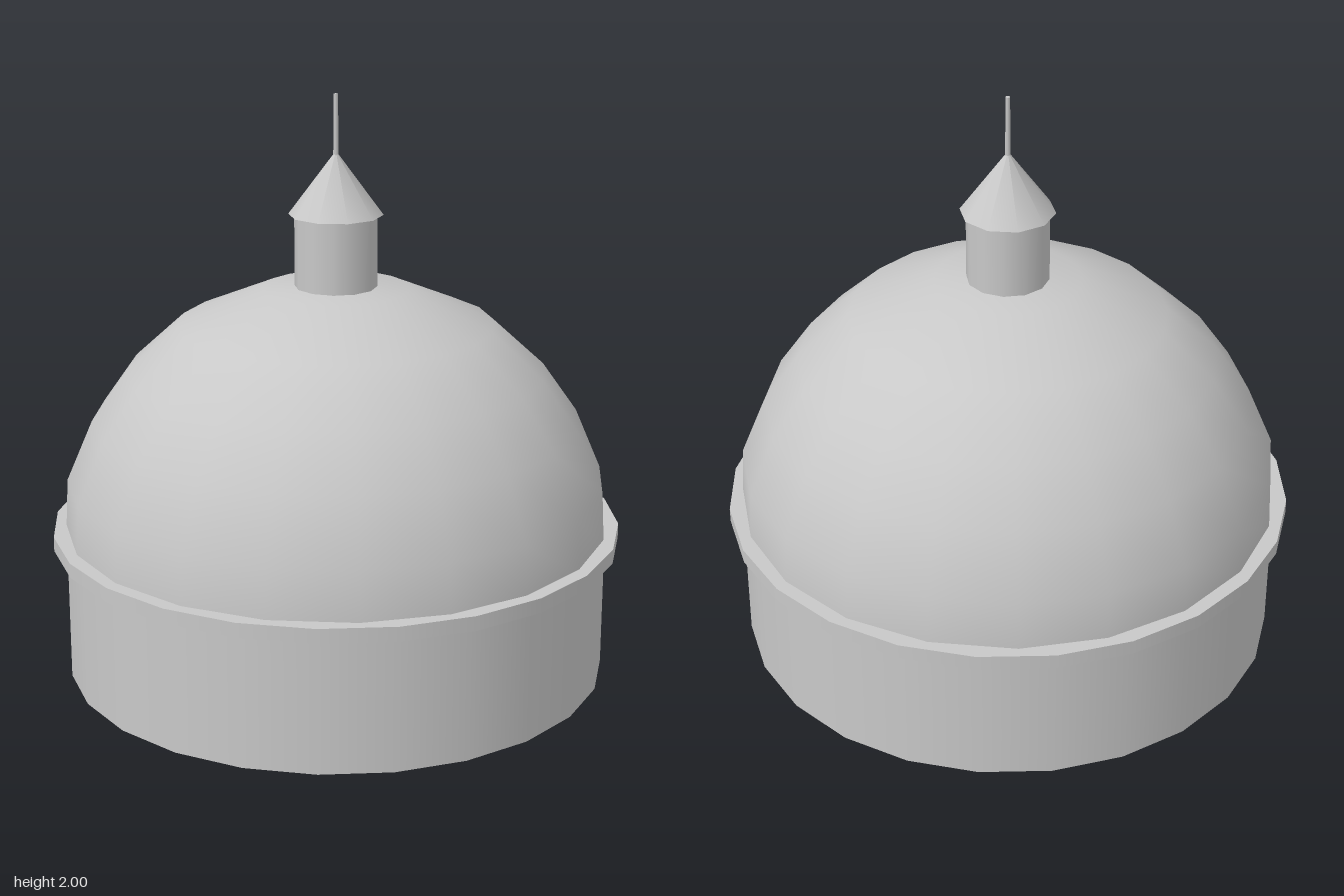
import * as THREE from 'three';

export function createModel() {
  const group = new THREE.Group();
  group.name = 'domedRotunda';
  const stone = new THREE.MeshStandardMaterial({ color: 0xc8c8c8 });
  stone.name = 'grey stone';

  const add = (name, geometry, y = 0) => {
    const mesh = new THREE.Mesh(geometry, stone);
    mesh.name = name;
    mesh.position.y = y;
    group.add(mesh);
    return mesh;
  };
  // Upright drum given by its bottom and top heights
  const drum = (name, rTop, rBottom, y0, y1, sides, turn = 0) =>
    add(name, new THREE.CylinderGeometry(rTop, rBottom, y1 - y0, sides, 1, false, turn), (y0 + y1) / 2);

  // Drum wall and the ledge around it
  drum('drumWall', 0.935, 0.935, 0, 0.49, 24);
  drum('ledge', 0.98, 0.98, 0.465, 0.515, 24);

  // Faceted dome with smooth normals and a nearly flat crown
  const profile = [
    [0.935, 0.5], [0.925, 0.68], [0.835, 0.89], [0.715, 1.06],
    [0.54, 1.22], [0.25, 1.343], [0, 1.357],
  ].map(([r, y]) => new THREE.Vector2(r, y));
  add('dome', new THREE.LatheGeometry(profile, 20, 0.14));

  // Lantern, its conical roof and the spire
  drum('lantern', 0.14, 0.14, 1.33, 1.6, 12);
  drum('lanternRoof', 0, 0.16, 1.595, 1.81, 10, -Math.PI / 2);
  drum('spire', 0.008, 0.01, 1.79, 2, 6);

  return group;
}
